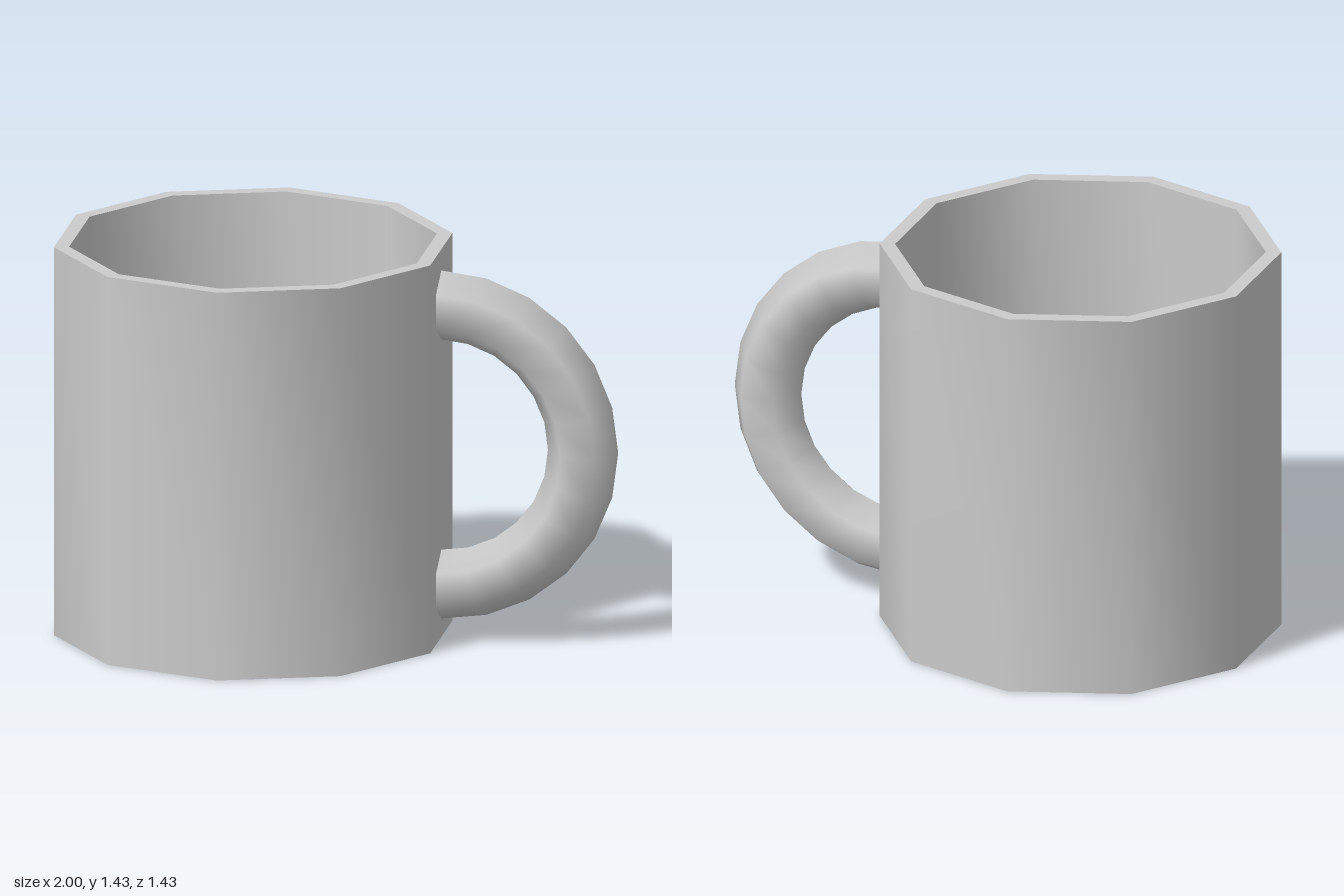
import * as THREE from 'three';
import { toCreasedNormals } from 'three/addons/utils/BufferGeometryUtils.js';

const SIDES = 10;
const HEIGHT = 1.43;
const OUTER = 0.715;
const INNER = 0.66;
const FLOOR = 0.055;
const CENTRE_X = -0.32;

export function createModel() {
  const group = new THREE.Group();
  group.name = 'mug';
  const material = new THREE.MeshStandardMaterial({ color: 0xcccccc });

  // Ten-sided hollow cup: base, outer wall, rim, inner wall, inner floor
  const profile = [
    [0, 0], [OUTER, 0], [OUTER, HEIGHT], [INNER, HEIGHT], [INNER, FLOOR], [0, FLOOR],
  ].map(([r, y]) => new THREE.Vector2(r, y));
  const cup = new THREE.Mesh(
    toCreasedNormals(new THREE.LatheGeometry(profile, SIDES), Math.PI / 3),
    material
  );
  cup.name = 'cup';
  cup.position.x = CENTRE_X;
  group.add(cup);

  // Half-ring handle with a hexagonal section, its ends just inside the wall
  const handle = new THREE.Mesh(
    new THREE.TorusGeometry(0.515, 0.127, 6, 12, Math.PI),
    material
  );
  handle.name = 'handle';
  handle.rotation.z = -Math.PI / 2;
  handle.position.set(0.357, 0.71, 0);
  group.add(handle);

  return group;
}
